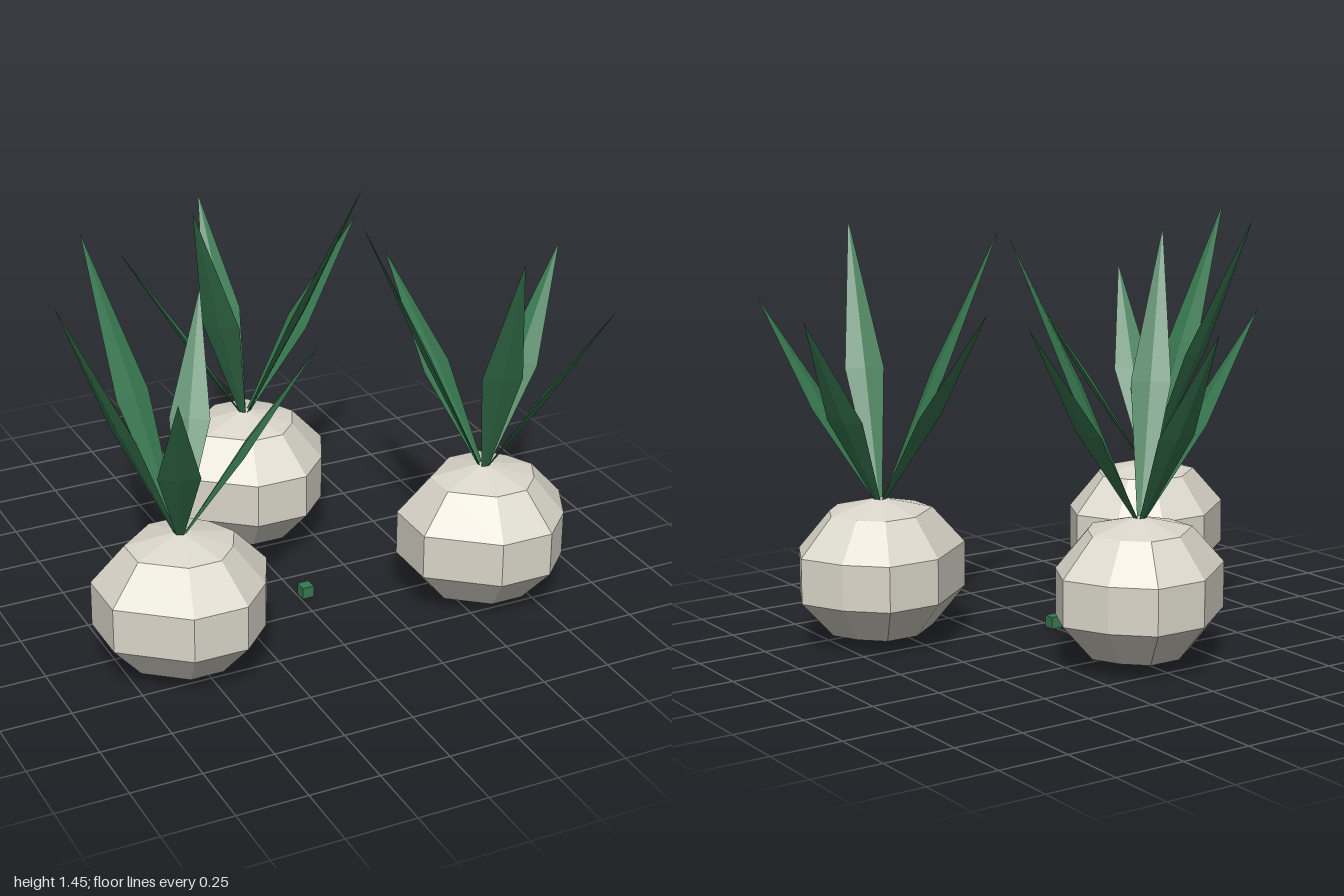
import * as THREE from 'three';

export function createModel() {
  const model = new THREE.Group();
  const skin = new THREE.MeshStandardMaterial({ color: 0xdad6ca, flatShading: true });
  skin.name = 'pale bulb skin';
  const green = new THREE.MeshStandardMaterial({ color: 0x387850, flatShading: true });
  green.name = 'leaf green';

  // Bulb: uneven nine-sided outline swept over five bands
  const outline = [[-0.07, 0.272], [0.122, 0.272], [0.24, 0.155], [0.315, 0], [0.24, -0.155],
    [0.122, -0.272], [-0.07, -0.272], [-0.285, -0.1], [-0.285, 0.1]];
  const profile = [[0, 0.005], [0.618, 0.055], [1, 0.187], [1, 0.348], [0.618, 0.48], [0, 0.527]];
  const bulbGeometry = new THREE.LatheGeometry(profile.map(p => new THREE.Vector2(...p)), outline.length);
  const pos = bulbGeometry.attributes.position;
  for (let i = 0; i < pos.count; i++) {
    const [x, z] = outline[Math.floor(i / profile.length) % outline.length];
    const r = profile[i % profile.length][0];
    pos.setXYZ(i, x * r, pos.getY(i), z * r);
  }
  bulbGeometry.computeVertexNormals();

  // Leaf: flattened four-sided spindle, widest a little below the middle
  const leafProfile = [[0, 0], [0.17, 0], [1, 0.46], [0, 1]].map(p => new THREE.Vector2(...p));
  const leafGeometry = new THREE.LatheGeometry(leafProfile, 4);

  function addLeaf(plant, dx, dz, tipY) {
    const reach = Math.hypot(dx, dz);
    const base = new THREE.Vector3(dx / reach * 0.015, 0.515, dz / reach * 0.015);
    const along = new THREE.Vector3(dx, tipY, dz).sub(base);
    const length = along.length();
    along.normalize();
    const side = new THREE.Vector3(dz, 0, -dx).normalize();
    const face = new THREE.Vector3().crossVectors(side, along);
    const leaf = new THREE.Mesh(leafGeometry, green);
    leaf.name = 'leaf';
    leaf.quaternion.setFromRotationMatrix(new THREE.Matrix4().makeBasis(side, along, face));
    leaf.scale.set(0.07, length, 0.011);
    leaf.position.copy(base);
    plant.add(leaf);
  }

  // Each plant: centre x, z, then leaf tips as x, z, height
  const tall = 1.455, low = 1.205;
  const plants = [
    ['leftPlant', 0.597, 0.385, [[0.155, 0.285, tall], [0.46, 0.82, tall],
      [0.41, -0.03, low], [1, 0.16, low], [0.86, 0.76, low]]],
    ['rightPlant', -0.555, 0.385, [[-1, 0.5, tall], [-0.708, -0.045, tall],
      [-0.305, 0, low], [-0.15, 0.593, low], [-0.73, 0.81, low]]],
    ['backPlant', 0.02, -0.365, [[-0.307, -0.045, tall], [0.312, -0.015, tall],
      [0.045, -0.82, low], [0.475, -0.38, low], [-0.432, -0.425, low]]],
  ];
  for (const [name, x, z, tips] of plants) {
    const plant = new THREE.Group();
    plant.name = name;
    plant.position.set(x, 0, z);
    const bulb = new THREE.Mesh(bulbGeometry, skin);
    bulb.name = 'bulb';
    plant.add(bulb);
    for (const [tx, tz, ty] of tips) addLeaf(plant, tx - x, tz - z, ty);
    model.add(plant);
  }

  // Small loose cube between the plants
  const cube = new THREE.Mesh(new THREE.BoxGeometry(0.043, 0.043, 0.043), green);
  cube.name = 'looseCube';
  cube.position.set(0.02, 0.037, 0.155);
  model.add(cube);

  return model;
}
